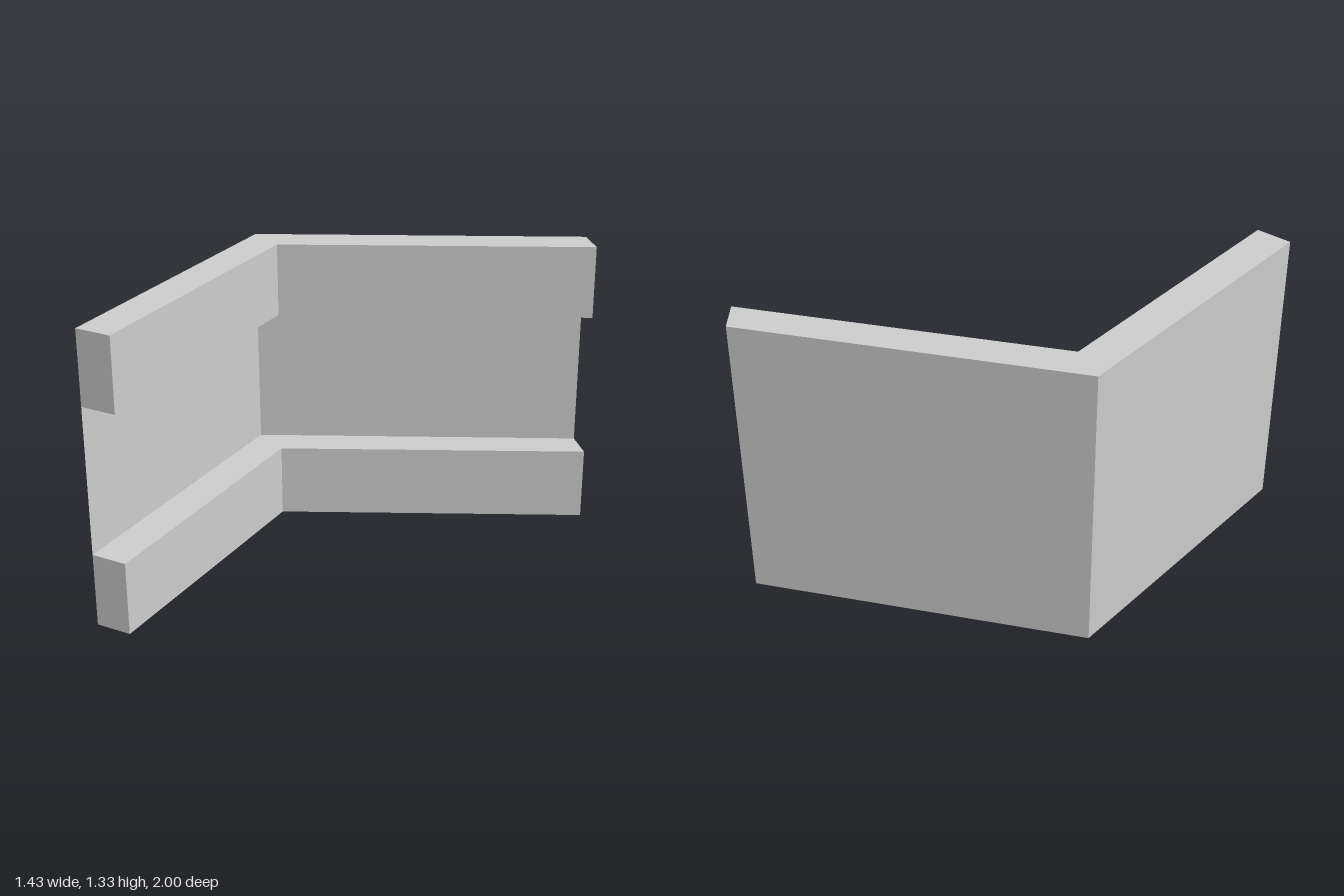
import * as THREE from 'three';

// Plan outline as [x, z]: outer face of both walls, then the inner face
const outer = [[-0.713, 1], [-0.713, -0.334], [0.617, -1]];
const inner = [[0.713, -0.885], [-0.55, -0.25], [-0.55, 1]];
const railHeight = 0.333;
const panelHeight = 0.667;

export function createModel() {
  const group = new THREE.Group();
  const material = new THREE.MeshStandardMaterial({ color: 0xcccccc, flatShading: true });
  const sheetMaterial = material.clone();
  sheetMaterial.side = THREE.DoubleSide;

  // Thick bent rails along the bottom and top
  const plan = new THREE.Shape([...outer, ...inner].map(([x, z]) => new THREE.Vector2(x, -z)));
  const railGeometry = new THREE.ExtrudeGeometry(plan, { depth: railHeight, bevelEnabled: false });
  railGeometry.rotateX(-Math.PI / 2);
  for (const [name, y] of [['bottomRail', 0], ['topRail', railHeight + panelHeight]]) {
    const rail = new THREE.Mesh(railGeometry, material);
    rail.name = name;
    rail.position.y = y;
    group.add(rail);
  }

  // Thin panels between the rails, flush with the outer face
  ['sidePanel', 'backPanel'].forEach((name, i) => {
    const [x0, z0] = outer[i];
    const [x1, z1] = outer[i + 1];
    const geometry = new THREE.PlaneGeometry(Math.hypot(x1 - x0, z1 - z0), panelHeight);
    const panel = new THREE.Mesh(geometry, sheetMaterial);
    panel.name = name;
    panel.position.set((x0 + x1) / 2, railHeight + panelHeight / 2, (z0 + z1) / 2);
    panel.rotation.y = Math.atan2(z0 - z1, x1 - x0);
    group.add(panel);
  });

  return group;
}
